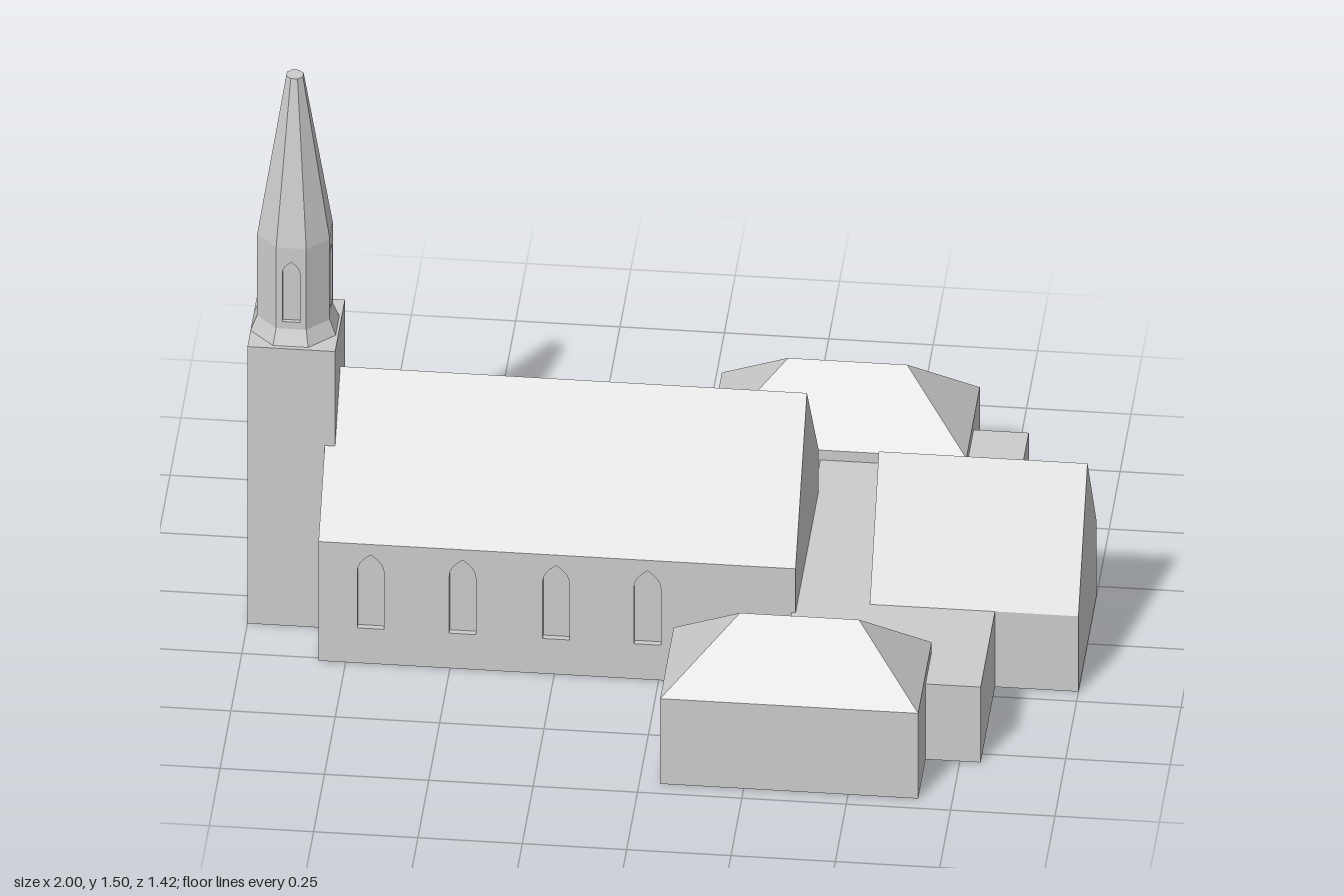
import * as THREE from 'three';

const stone = new THREE.MeshStandardMaterial({ color: 0xcccccc });
stone.name = 'light grey stone';

function add(group, name, geometry) {
  const flat = geometry.index ? geometry.toNonIndexed() : geometry;
  flat.computeVertexNormals();
  const mesh = new THREE.Mesh(flat, stone);
  mesh.name = name;
  group.add(mesh);
  return mesh;
}

function polygon(points) {
  return new THREE.Shape(points.map(([x, y]) => new THREE.Vector2(x, y)));
}

function extrude(shape, depth) {
  return new THREE.ExtrudeGeometry(shape, { depth, bevelEnabled: false, curveSegments: 4 });
}

// Box given by its limits along each axis
function block(x0, x1, y0, y1, z0, z1) {
  return new THREE.BoxGeometry(x1 - x0, y1 - y0, z1 - z0)
    .translate((x0 + x1) / 2, (y0 + y1) / 2, (z0 + z1) / 2);
}

// Profile in (z, y), symmetric about z = 0, run along x
function alongX(points, x0, x1) {
  return extrude(polygon(points), x1 - x0).rotateY(Math.PI / 2).translate(x0, 0, 0);
}

// Pointed arch opening
function lancet(x, y0, y1, w) {
  const r = w / 2, spring = y1 - w * 0.75;
  const path = new THREE.Path();
  path.moveTo(x - r, y0);
  path.lineTo(x + r, y0);
  path.lineTo(x + r, spring);
  path.quadraticCurveTo(x + r, spring + w * 0.4, x, y1);
  path.quadraticCurveTo(x - r, spring + w * 0.4, x - r, spring);
  path.lineTo(x - r, y0);
  return path;
}

// Wall skin with openings; its outer face is turned by angle about y
function pierced(w, y0, y1, openings, depth, angle, x, z) {
  const shape = polygon([[-w / 2, y0], [w / 2, y0], [w / 2, y1], [-w / 2, y1]]);
  shape.holes.push(...openings);
  return extrude(shape, depth).translate(0, 0, -depth).rotateY(angle).translate(x, 0, z);
}

// Eight-sided frustum with flats facing the axes, sized by its flats
function octagon(bottom, top, y0, y1) {
  const k = Math.cos(Math.PI / 8);
  return new THREE.CylinderGeometry(top / k, bottom / k, y1 - y0, 8)
    .rotateY(Math.PI / 8).translate(0, (y0 + y1) / 2, 0);
}

// Hipped roof from its base rectangle and ridge
function hipRoof(x0, x1, z0, z1, y0, y1, r0, r1) {
  const zm = (z0 + z1) / 2;
  const a = [x0, y0, z1], b = [x1, y0, z1], c = [x1, y0, z0], d = [x0, y0, z0];
  const e = [r0, y1, zm], f = [r1, y1, zm];
  const tris = [a, b, f, a, f, e, c, d, e, c, e, f, b, c, f, d, a, e];
  const g = new THREE.BufferGeometry();
  g.setAttribute('position', new THREE.Float32BufferAttribute(tris.flat(), 3));
  return g;
}

export function createModel() {
  const church = new THREE.Group();
  church.name = 'church';
  const recess = 0.015;

  // Nave: gabled core, with window walls set in both long sides
  const nave = new THREE.Group();
  nave.name = 'nave';
  church.add(nave);
  const n0 = -0.815, n1 = 0.328, nz = 0.262, eave = 0.34;
  const inner = nz - recess;
  add(nave, 'naveBody', alongX([[-inner, 0], [inner, 0], [inner, eave], [nz, eave],
    [0, 0.67], [-nz, eave], [-inner, eave]], n0, n1));
  const mid = (n0 + n1) / 2;
  for (const side of [1, -1]) {
    const windows = [-0.69, -0.47, -0.246, -0.027].map(x => lancet((x - mid) * side, 0.1, 0.31, 0.064));
    add(nave, side > 0 ? 'frontWindowWall' : 'backWindowWall',
      pierced(n1 - n0, 0, eave, windows, recess, side > 0 ? 0 : Math.PI, mid, side * nz));
  }

  // Choir
  add(church, 'choir', alongX([[-0.208, 0], [0.208, 0], [0.208, 0.215], [0, 0.515], [-0.208, 0.215]], 0.5, 1));

  // Flat-roofed crossing
  add(church, 'flatAnnex', block(0.318, 0.8, 0, 0.215, -0.57, 0.537));

  // Hip-roofed side wings
  for (const side of [1, -1]) {
    const wing = new THREE.Group();
    wing.name = side > 0 ? 'frontWing' : 'backWing';
    church.add(wing);
    const z0 = side > 0 ? 0.398 : -0.712, z1 = z0 + 0.31;
    add(wing, 'wingWalls', block(0.05, 0.668, 0, 0.243, z0, z1));
    add(wing, 'wingRoof', hipRoof(0.05, 0.668, z0, z1, 0.243, 0.398, 0.225, 0.51));
  }

  // Tower with a doorway and window on its outer face
  const tower = new THREE.Group();
  tower.name = 'tower';
  church.add(tower);
  const tz = 0.006, tw = 0.226, th = 0.79;
  add(tower, 'towerBody', block(-1 + recess, -0.79, 0, th, tz - tw / 2, tz + tw / 2));
  add(tower, 'doorWall', pierced(tw, 0, th,
    [lancet(0, 0.02, 0.23, 0.064), lancet(0, 0.35, 0.56, 0.064)], recess, -Math.PI / 2, -1, tz));

  // Belfry and spire
  const steeple = new THREE.Group();
  steeple.name = 'steeple';
  steeple.position.set(-0.898, 0, tz);
  church.add(steeple);
  const ap = 0.087, half = ap * Math.tan(Math.PI / 8), cut = 0.01;
  add(steeple, 'steepleFoot', octagon(0.102, ap, th, 0.83));

  // Belfry core is notched on four sides to take the window panels
  const outline = [];
  for (let i = 0; i < 4; i++) {
    const c = [1, 0, -1, 0][i], s = [0, 1, 0, -1][i];
    for (const [r, t] of [[ap, -half], [ap - cut, -half], [ap - cut, half], [ap, half]]) {
      outline.push([r * c - t * s, r * s + t * c]);
    }
  }
  add(steeple, 'belfryCore', extrude(polygon(outline), 1.06 - 0.83).rotateX(-Math.PI / 2).translate(0, 0.83, 0));
  for (let i = 0; i < 4; i++) {
    const a = i * Math.PI / 2;
    add(steeple, 'belfryWindow', pierced(half * 2, 0.83, 1.06, [lancet(0, 0.85, 1.02, 0.042)],
      cut, a, ap * Math.sin(a), ap * Math.cos(a)));
  }
  add(steeple, 'spire', octagon(ap, 0.02, 1.06, 1.5));

  return church;
}
